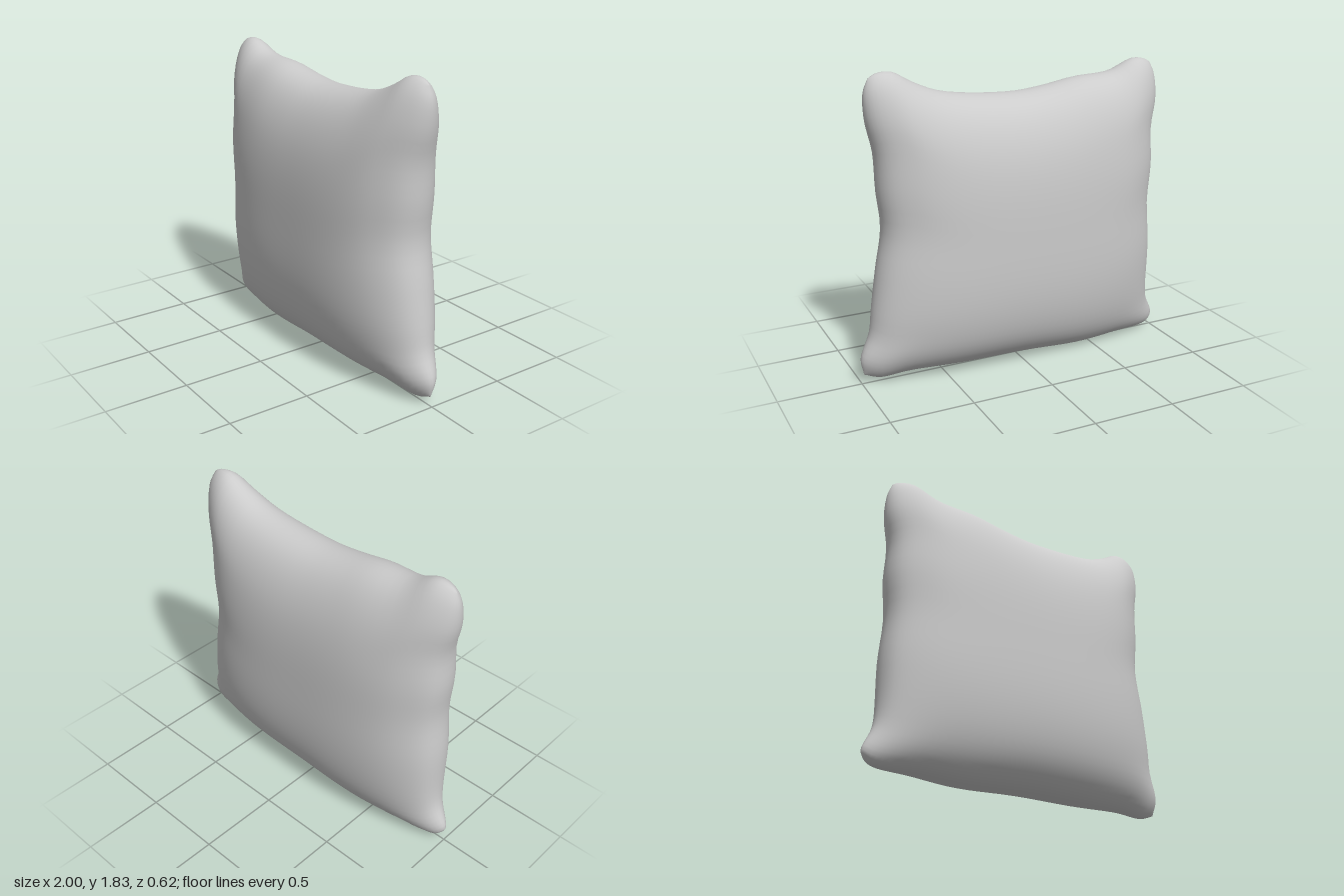
import * as THREE from 'three';
import { mergeGeometries, mergeVertices } from 'three/addons/utils/BufferGeometryUtils.js';

// Smooth seam edge through a few [x, y] points
const edge = (points) =>
  new THREE.CatmullRomCurve3(points.map(([x, y]) => new THREE.Vector3(x, y, 0)), false, 'centripetal');

// The four seams; neighbours share their corner points
const bottom = edge([[-0.985, 0.06], [-0.94, 0.025], [-0.68, 0.015], [-0.4, 0.003], [0, 0.025], [0.4, 0.03],
  [0.73, 0.04], [0.89, 0.028], [0.985, 0.06]]);
const top = edge([[-0.92, 1.765], [-0.89, 1.785], [-0.8, 1.8], [-0.64, 1.735], [-0.4, 1.715], [-0.2, 1.68],
  [0.03, 1.66], [0.46, 1.70], [0.64, 1.77], [0.75, 1.83], [0.84, 1.825], [0.885, 1.80]]);
const left = edge([[-0.985, 0.06], [-1, 0.1], [-0.935, 0.26], [-0.92, 0.67], [-0.9, 0.92], [-0.92, 1.15],
  [-0.915, 1.37], [-0.95, 1.55], [-0.945, 1.69], [-0.92, 1.765]]);
const right = edge([[0.985, 0.06], [1, 0.16], [0.94, 0.31], [0.92, 0.45], [0.88, 0.7], [0.84, 0.93],
  [0.86, 1.15], [0.87, 1.38], [0.91, 1.57], [0.913, 1.72], [0.885, 1.80]]);

const SEGMENTS = 40;
const HALF_DEPTH = 0.308;

// Puffed profile across the cushion, t from -1 to 1
const puff = (t) => Math.sqrt(Math.max(0, 1 - Math.abs(t) ** 3));

// Point of the flat panel blended between the four seams (u, v from 0 to 1)
function panelPoint(u, v) {
  const b = bottom.getPointAt(u), t = top.getPointAt(u);
  const l = left.getPointAt(v), r = right.getPointAt(v);
  const c00 = bottom.points[0], c10 = right.points[0];
  const c01 = top.points[0], c11 = top.points[top.points.length - 1];
  const blend = (k) =>
    (1 - v) * b[k] + v * t[k] + (1 - u) * l[k] + u * r[k] -
    ((1 - u) * (1 - v) * c00[k] + u * (1 - v) * c10[k] + (1 - u) * v * c01[k] + u * v * c11[k]);
  return [blend('x'), blend('y')];
}

// One bulging panel: side 1 is the front, -1 the back
function panel(side) {
  const geometry = new THREE.PlaneGeometry(2, 2, SEGMENTS, SEGMENTS);
  const position = geometry.attributes.position;
  // Crowd the rows towards the seams, where the surface curves most
  const crowd = (t) => Math.sin((t * Math.PI) / 2);
  for (let i = 0; i < position.count; i++) {
    const s = crowd(side * position.getX(i));
    const t = crowd(position.getY(i));
    const [x, y] = panelPoint((s + 1) / 2, (t + 1) / 2);
    position.setXYZ(i, x, y, side * HALF_DEPTH * puff(s) * puff(t));
  }
  geometry.deleteAttribute('normal');
  geometry.deleteAttribute('uv');
  return geometry;
}

export function createModel() {
  const group = new THREE.Group();
  group.name = 'pillow';

  // Both panels welded along the seam
  const geometry = mergeVertices(mergeGeometries([panel(1), panel(-1)]), 1e-4);
  geometry.computeVertexNormals();
  const cushion = new THREE.Mesh(geometry, new THREE.MeshStandardMaterial({ color: 0xcccccc }));
  cushion.name = 'cushion';
  group.add(cushion);
  return group;
}
